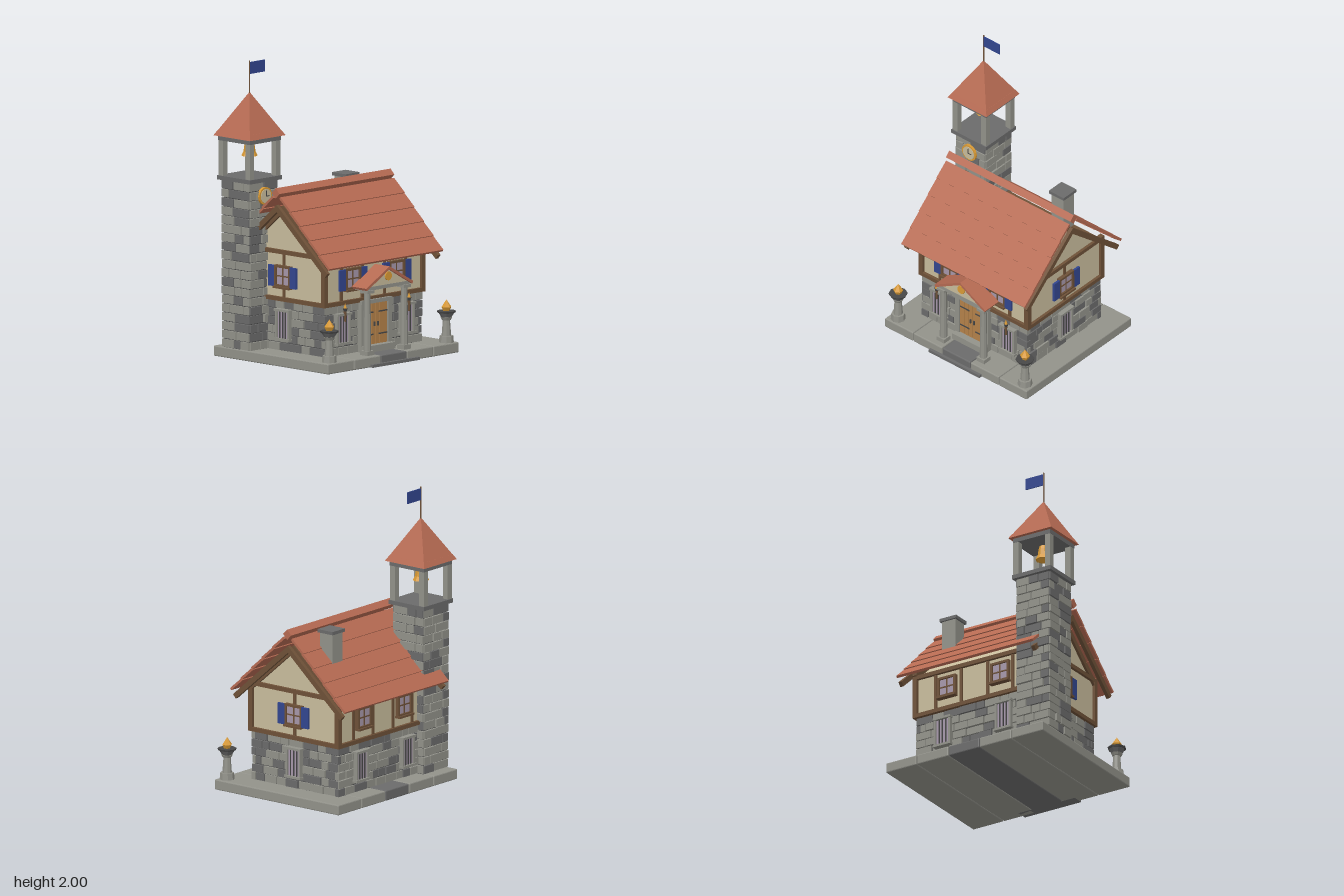
import * as THREE from 'three';
import { mergeGeometries } from 'three/addons/utils/BufferGeometryUtils.js';
import { RoundedBoxGeometry } from 'three/addons/geometries/RoundedBoxGeometry.js';

const mat = (name, color) => Object.assign(new THREE.MeshStandardMaterial({ color }), { name });
const roofRed = mat('roof tile', 0xb56a52), plaster = mat('plaster', 0xc8bc9c), timber = mat('timber', 0x6e5138);
const stone = mat('stone', 0x92928a), darkStone = mat('dark stone', 0x6b6b6b), iron = mat('mortar and iron', 0x484848);
const blue = mat('blue paint', 0x32468f), glass = mat('window glass', 0xa697aa);
const gold = mat('gold', 0xd99a35), oak = mat('oak', 0xb5824a);

let seed = 7;
const rand = () => (seed = (seed * 16807) % 2147483647) / 2147483647;

function add(parent, name, geo, material, x = 0, y = 0, z = 0) {
  const m = new THREE.Mesh(geo, material);
  m.name = name;
  m.position.set(x, y, z);
  parent.add(m);
  return m;
}
const box = (p, name, m, w, h, d, x, y, z) => add(p, name, new THREE.BoxGeometry(w, h, d), m, x, y, z);
function flat(geo) {
  const g = geo.index ? geo.toNonIndexed() : geo;
  g.computeVertexNormals();
  return g;
}
// faceted cylinder, given its bottom height
const drum = (p, name, m, rTop, rBottom, h, n, x, y, z) =>
  add(p, name, flat(new THREE.CylinderGeometry(rTop, rBottom, h, n)), m, x, y + h / 2, z);
// square frustum with half widths
function frustum(p, name, m, top, bottom, h, x, y, z) {
  const g = new THREE.CylinderGeometry(top * Math.SQRT2, bottom * Math.SQRT2, h, 4).rotateY(Math.PI / 4);
  return add(p, name, flat(g), m, x, y + h / 2, z);
}
function group(parent, name, x = 0, y = 0, z = 0, ry = 0) {
  const g = new THREE.Group();
  g.name = name;
  g.position.set(x, y, z);
  g.rotation.y = ry;
  parent.add(g);
  return g;
}
function prism(parent, name, material, points, depth) {
  const shape = new THREE.Shape(points.map(([x, y]) => new THREE.Vector2(x, y)));
  return add(parent, name, new THREE.ExtrudeGeometry(shape, { depth, bevelEnabled: false }), material);
}

// coursed masonry on one wall face, looking along local +z
function masonry(parent, name, w, y0, y1, rows, z, ry, darkEnds = 0) {
  const g = group(parent, name, 0, 0, 0, ry), parts = [[], []], h = (y1 - y0) / rows;
  for (let r = 0; r < rows; r++) {
    let x = -w / 2;
    while (x < w / 2 - 0.01) {
      let len = 0.06 + rand() * 0.075;
      if (w / 2 - x - len < 0.045) len = w / 2 - x;
      const depth = 0.024 + rand() * 0.01, mid = x + len / 2;
      const dark = rand() < 0.32 || w / 2 - Math.abs(mid) < darkEnds;
      parts[dark ? 1 : 0].push(new THREE.BoxGeometry(len - 0.007, h - 0.007, depth)
        .translate(mid, y0 + h * (r + 0.5), z + depth / 2 - 0.015));
      x += len;
    }
  }
  parts.forEach((p, i) => p.length && add(g, i ? 'darkStones' : 'stones', mergeGeometries(p), i ? darkStone : stone));
}

// timber window with cross bars and optional shutters
function upperWindow(parent, x, z, ry, shutters) {
  const g = group(parent, 'upperWindow', x, 0.577, z, ry);
  box(g, 'pane', glass, 0.12, 0.12, 0.02, 0, 0, 0);
  for (const s of [-1, 1]) {
    box(g, 'frameSide', timber, 0.016, 0.146, 0.034, s * 0.065, 0, 0.005);
    box(g, 'frameRail', timber, 0.14, 0.016, 0.034, 0, s * 0.065, 0.005);
    if (shutters) box(g, 'shutter', blue, 0.058, 0.142, 0.016, s * 0.101, -0.002, 0.014);
  }
  box(g, 'mullion', timber, 0.009, 0.12, 0.028, 0, 0, 0);
  box(g, 'crossBar', timber, 0.12, 0.009, 0.028, 0, 0, 0);
  box(g, 'sill', timber, 0.15, 0.014, 0.05, 0, -0.075, 0.01);
}

// stone framed window with iron bars
function lowerWindow(parent, x, z, ry) {
  const g = group(parent, 'barredWindow', x, 0.25, z, ry);
  box(g, 'pane', glass, 0.1, 0.18, 0.03, 0, 0, 0);
  for (const s of [-1, 1]) {
    box(g, 'jamb', stone, 0.016, 0.2, 0.045, s * 0.056, 0, 0.004);
    box(g, 'ledge', stone, 0.138, 0.016, 0.055, 0, s * 0.098, 0.006);
  }
  for (let i = -1; i <= 1; i++) box(g, 'bar', iron, 0.007, 0.18, 0.008, i * 0.026, 0, 0.018);
}

function buildHouse(root) {
  const h = group(root, 'house', 0.018, 0, -0.042);
  // stone ground floor
  box(h, 'groundFloorCore', iron, 0.89, 0.35, 0.72, 0, 0.24, 0);
  for (const k of [0, 2]) masonry(h, 'longStoneWall', 0.93, 0.07, 0.41, 6, 0.36, k * Math.PI / 2);
  for (const k of [1, 3]) masonry(h, 'sideStoneWall', 0.75, 0.07, 0.41, 6, 0.445, k * Math.PI / 2, 0.065);
  // plastered upper floor with gables
  const upper = prism(h, 'plasterWalls', plaster,
    [[-0.37, 0.41], [0.37, 0.41], [0.37, 0.7], [0, 1.03], [-0.37, 0.7]], 0.92);
  upper.rotation.y = Math.PI / 2;
  upper.position.x = -0.46;
  for (const s of [-1, 1]) {
    box(h, 'sillBeam', timber, 0.96, 0.028, 0.034, 0, 0.422, s * 0.374);
    box(h, 'sideSillBeam', timber, 0.034, 0.028, 0.78, s * 0.463, 0.422, 0);
    box(h, 'gableBeam', timber, 0.034, 0.028, 0.78, s * 0.463, 0.74, 0);
    box(h, 'wallPlate', timber, 0.96, 0.028, 0.034, 0, 0.7, s * 0.374);
    for (const t of [-1, 1]) {
      box(h, 'cornerPost', timber, 0.034, 0.32, 0.034, s * 0.463, 0.57, t * 0.374);
      for (const x of [0.105, 0.305]) box(h, 'wallPost', timber, 0.02, 0.28, 0.02, s * x, 0.56, t * 0.37);
      const barge = box(h, 'bargeRafter', timber, 0.025, 0.036, 0.625, s * 0.525, 0.847, t * 0.226);
      barge.rotation.x = t * 0.714;
      const inner = box(h, 'gableRafter', timber, 0.03, 0.036, 0.52, s * 0.463, 0.872, t * 0.188);
      inner.rotation.x = t * 0.714;
    }
    box(h, 'gablePost', timber, 0.02, 0.1, 0.02, s * 0.46, 0.475, 0);
    box(h, 'gablePostTop', timber, 0.02, 0.1, 0.02, s * 0.46, 0.68, 0);
    // windows on all sides
    upperWindow(h, s * 0.207, 0.375, 0, true);
    upperWindow(h, s * 0.21, -0.375, Math.PI, false);
    upperWindow(h, s * 0.465, 0, s * Math.PI / 2, true);
    lowerWindow(h, s * 0.303, 0.376, 0);
    lowerWindow(h, s * 0.24, -0.376, Math.PI);
    lowerWindow(h, s * 0.46, 0, s * Math.PI / 2);
    // wall torch
    const torch = group(h, 'torch', s * 0.303, 0.3, 0.41);
    box(torch, 'bracket', iron, 0.012, 0.012, 0.045, 0, 0.04, -0.018);
    drum(torch, 'handle', timber, 0.011, 0.006, 0.08, 6, 0, 0, 0);
    drum(torch, 'cup', iron, 0.017, 0.01, 0.02, 6, 0, 0.07, 0);
    drum(torch, 'flame', gold, 0, 0.012, 0.035, 6, 0, 0.09, 0);
  }
  // overlapping roof courses
  for (const ry of [0, Math.PI]) {
    const side = group(h, 'roofSide', 0, 0, 0, ry);
    for (let i = 0; i < 5; i++) {
      const c = box(side, 'roofCourse', roofRed, 1.078, 0.017, 0.132, 0, 0.73 + i * 0.086, 0.443 - i * 0.09);
      c.rotation.x = 0.71;
    }
  }
  const ridge = box(h, 'ridgeBeam', roofRed, 1.09, 0.05, 0.05, 0, 1.145, 0);
  ridge.rotation.x = Math.PI / 4;
  // chimney
  box(h, 'chimney', stone, 0.105, 0.28, 0.105, 0.297, 1.01, -0.176);
  box(h, 'chimneyCap', darkStone, 0.13, 0.022, 0.13, 0.297, 1.155, -0.176);
  // double door
  const d = group(h, 'door', 0, 0, 0.385);
  box(d, 'threshold', stone, 0.28, 0.045, 0.08, 0, 0.092, 0.02);
  for (const s of [-1, 1]) {
    box(d, 'doorJamb', stone, 0.034, 0.3, 0.045, s * 0.127, 0.26, 0);
    for (let i = 0; i < 3; i++) box(d, 'doorPlank', oak, 0.034, 0.285, 0.024, s * (0.02 + i * 0.036), 0.257, 0);
    for (const y of [0.18, 0.33]) box(d, 'hingeStrap', iron, 0.08, 0.009, 0.005, s * 0.066, y, 0.014);
    box(d, 'doorHandle', iron, 0.01, 0.03, 0.01, s * 0.015, 0.25, 0.016);
  }
  box(d, 'doorBacking', timber, 0.22, 0.29, 0.012, 0, 0.257, -0.005);
  box(d, 'lintel', stone, 0.288, 0.026, 0.05, 0, 0.405, 0);
  // portico
  const p = group(h, 'portico');
  for (const s of [-1, 1]) {
    drum(p, 'column', stone, 0.022, 0.026, 0.43, 8, s * 0.175, 0.07, 0.49);
    box(p, 'columnBase', stone, 0.066, 0.03, 0.066, s * 0.175, 0.085, 0.49);
    box(p, 'capital', stone, 0.066, 0.02, 0.066, s * 0.175, 0.497, 0.49);
    const slab = box(p, 'porticoRoof', roofRed, 0.255, 0.018, 0.137, s * 0.108, 0.58, 0.459);
    slab.rotation.z = -s * 0.513;
  }
  box(p, 'entablature', stone, 0.42, 0.024, 0.125, 0, 0.517, 0.45);
  prism(p, 'pediment', plaster, [[-0.19, 0.525], [0.19, 0.525], [0, 0.632]], 0.12).position.z = 0.39;
  const disc = drum(p, 'pedimentDisc', gold, 0.03, 0.03, 0.012, 16, 0, 0.579, 0.513);
  disc.rotation.x = Math.PI / 2;
}

function buildTower(root) {
  const t = group(root, 'bellTower', -0.477, 0, -0.335);
  box(t, 'towerCore', iron, 0.24, 1.14, 0.24, 0, 0.63, 0);
  for (let k = 0; k < 4; k++) masonry(t, 'towerStones', 0.26, 0.07, 1.2, 19, 0.12, k * Math.PI / 2);
  box(t, 'belfryFloor', darkStone, 0.305, 0.028, 0.305, 0, 1.214, 0);
  for (const x of [-1, 1]) for (const z of [-1, 1]) box(t, 'belfryPost', stone, 0.042, 0.24, 0.042, x * 0.125, 1.345, z * 0.125);
  box(t, 'belfryTop', darkStone, 0.295, 0.03, 0.295, 0, 1.48, 0);
  // clock dial facing the front
  const dial = drum(t, 'clockRim', gold, 0.06, 0.06, 0.02, 16, 0, 1.095, 0.142);
  dial.rotation.x = Math.PI / 2;
  const face = drum(t, 'clockFace', plaster, 0.048, 0.048, 0.022, 16, 0, 1.094, 0.145);
  face.rotation.x = Math.PI / 2;
  box(t, 'minuteHand', iron, 0.006, 0.04, 0.004, 0, 1.122, 0.157);
  box(t, 'hourHand', iron, 0.028, 0.006, 0.004, 0.012, 1.105, 0.157);
  // bell
  const bell = [[0, 0.1], [0.026, 0.1], [0.034, 0.075], [0.04, 0.03], [0.055, 0], [0.045, 0], [0, 0.05]].reverse();
  add(t, 'bell', flat(new THREE.LatheGeometry(bell.map(([x, y]) => new THREE.Vector2(x, y)), 8)), gold, 0, 1.36, 0);
  drum(t, 'bellHanger', iron, 0.008, 0.008, 0.03, 6, 0, 1.45, 0);
  // spire, pole and flag
  frustum(t, 'spireEave', roofRed, 0.15, 0.17, 0.035, 0, 1.497, 0);
  frustum(t, 'spire', roofRed, 0, 0.15, 0.26, 0, 1.53, 0);
  drum(t, 'flagPole', timber, 0.005, 0.005, 0.23, 6, 0, 1.77, 0);
  box(t, 'flag', blue, 0.14, 0.08, 0.006, 0.072, 1.95, 0);
}

function buildBrazier(root, x) {
  const b = group(root, 'brazier', x, 0.07, 0.468);
  drum(b, 'foot', stone, 0.046, 0.05, 0.045, 8, 0, 0, 0);
  drum(b, 'shaft', stone, 0.023, 0.032, 0.12, 8, 0, 0.045, 0);
  drum(b, 'collar', stone, 0.04, 0.03, 0.02, 8, 0, 0.15, 0);
  drum(b, 'bowl', darkStone, 0.06, 0.032, 0.045, 8, 0, 0.165, 0);
  drum(b, 'rim', iron, 0.064, 0.06, 0.012, 8, 0, 0.2, 0);
  drum(b, 'flameBase', gold, 0.034, 0.02, 0.03, 6, 0, 0.208, 0);
  drum(b, 'flame', gold, 0, 0.034, 0.05, 6, 0, 0.238, 0);
}

export function createModel() {
  const root = new THREE.Group();
  root.name = 'townHall';
  // paved base of five slabs and a low step
  const edges = [-0.608, -0.357, -0.104, 0.142, 0.393, 0.638];
  for (let i = 0; i < 5; i++) {
    const w = edges[i + 1] - edges[i] - 0.005;
    add(root, 'baseSlab', flat(new RoundedBoxGeometry(w, 0.07, 1.07, 1, 0.007)), i === 2 ? darkStone : stone,
      (edges[i] + edges[i + 1]) / 2, 0.035, -0.01);
  }
  box(root, 'frontStep', darkStone, 0.445, 0.02, 0.08, 0.018, 0.01, 0.507);
  buildHouse(root);
  buildTower(root);
  for (const s of [-1, 1]) buildBrazier(root, 0.018 + s * 0.555);
  return root;
}
